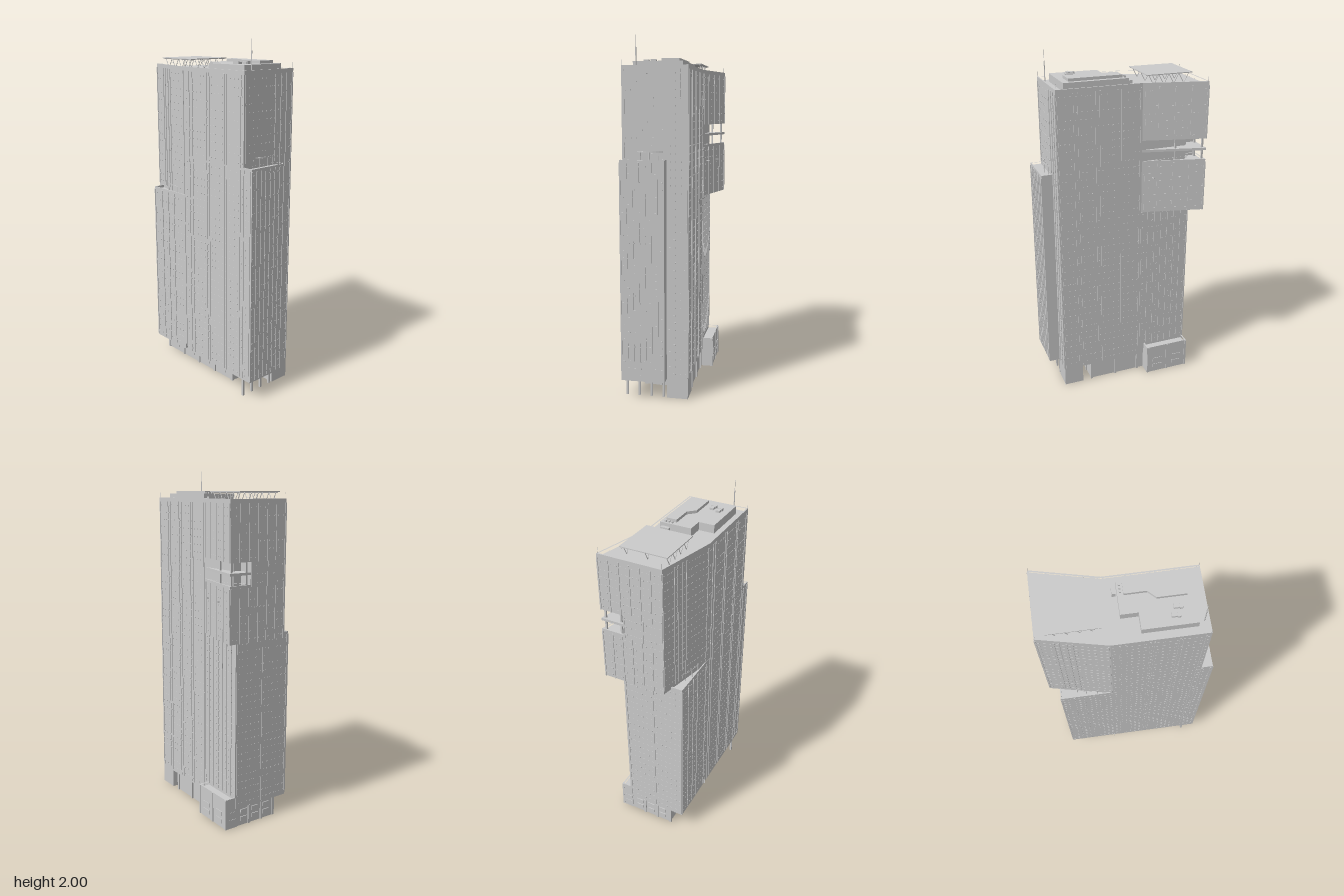
import * as THREE from 'three';
import { mergeGeometries } from 'three/addons/utils/BufferGeometryUtils.js';

const material = new THREE.MeshStandardMaterial({ color: 0xcccccc, flatShading: true });

// Vertical prism from a plan of [x, z] corners, with an optional hole.
function prism(plan, y0, y1, hole) {
  const toVec = ([x, z]) => new THREE.Vector2(x, -z);
  const shape = new THREE.Shape(plan.map(toVec));
  if (hole) shape.holes.push(new THREE.Path(hole.map(toVec)));
  return new THREE.ExtrudeGeometry(shape, { depth: y1 - y0, bevelEnabled: false })
    .rotateX(-Math.PI / 2).translate(0, y0, 0);
}

const rect = (x0, x1, z0, z1) => [[x0, z0], [x1, z0], [x1, z1], [x0, z1]];

function box(w, h, d, x, y, z, turn = 0) {
  return new THREE.BoxGeometry(w, h, d).rotateY(turn).translate(x, y, z);
}

// Thin round bar between two points.
function bar(a, b, r = 0.002) {
  const path = new THREE.LineCurve3(new THREE.Vector3(...a), new THREE.Vector3(...b));
  return new THREE.TubeGeometry(path, 1, r, 5);
}

// Fins at given fractions along a wall, and rows of small windows on each floor.
function facade(a, b, y0, y1, finAt) {
  const dx = b[0] - a[0], dz = b[1] - a[1];
  const length = Math.hypot(dx, dz), turn = Math.atan2(-dz, dx);
  const at = t => [a[0] + dx * t, a[1] + dz * t];
  const fins = finAt.map(t => {
    const [x, z] = at(t);
    return box(0.007, y1 - y0, 0.007, x, (y0 + y1) / 2, z, turn);
  });
  const windows = [];
  const columns = Math.max(2, Math.round(length / 0.03));
  const floors = Math.round((y1 - y0) / 0.042);
  for (let f = 0; f < floors; f++) for (let c = 0; c < columns; c++) {
    const [x, z] = at((c + 0.5) / columns);
    windows.push(box(0.013, 0.006, 0.003, x, y0 + (y1 - y0) * (f + 0.5) / floors, z, turn));
  }
  return { fins, windows };
}

const spread = n => Array.from({ length: n + 1 }, (_, i) => 0.01 + 0.98 * i / n);

export function createModel() {
  const model = new THREE.Group();
  const add = (name, ...geometries) => {
    const flat = geometries.map(g => (g.index ? g.toNonIndexed() : g));
    const mesh = new THREE.Mesh(mergeGeometries(flat), material);
    mesh.name = name;
    model.add(mesh);
  };

  // Tower masses
  const crown = [[-0.455, -0.235], [-0.1, -0.15], [0.39, -0.15], [0.39, 0.215], [-0.1, 0.215], [-0.455, 0.135]];
  const crownInner = [[-0.447, -0.225], [-0.101, -0.142], [0.382, -0.142], [0.382, 0.207], [-0.099, 0.207], [-0.447, 0.129]];
  const notched = [[-0.455, -0.1], [-0.37, -0.1], [-0.37, -0.15], [0.39, -0.15], [0.39, 0.215], [-0.1, 0.215], [-0.455, 0.135]];
  add('lowerTower', prism(rect(-0.4, 0.39, -0.15, 0.215), 0.11, 1.09));
  add('terraceParapet', prism([[-0.4, 0.215], [-0.1, 0.215], [-0.1, 0.209], [-0.394, 0.209], [-0.394, 0.15], [-0.4, 0.148]], 1.09, 1.105));
  add('upperTowerBase', prism(crown, 1.09, 1.385));
  add('skyGardenCore', prism(notched, 1.385, 1.52));
  add('upperTowerTop', prism(crown, 1.52, 1.82));
  add('roofParapet', prism(crown, 1.82, 1.842, crownInner));

  // Open sky garden at the back corner: floor plate, kerb and columns
  const corner = [[-0.455, -0.235], [-0.1, -0.15], [-0.37, -0.145], [-0.37, -0.1], [-0.455, -0.1]];
  add('skyGardenFloor', prism(corner, 1.452, 1.466));
  add('skyGardenKerb', prism(corner, 1.385, 1.4,
    [[-0.447, -0.225], [-0.15, -0.155], [-0.38, -0.15], [-0.38, -0.108], [-0.447, -0.108]]));
  add('skyGardenColumns', ...[[-0.44, -0.215], [-0.29, -0.18], [-0.44, -0.12]]
    .map(([x, z]) => box(0.01, 0.135, 0.01, x, 1.4525, z)));

  // Side bay with its terrace
  add('sideBay', prism(rect(0.38, 0.453, -0.03, 0.215), 0.11, 1.33));
  add('sideBayParapet', prism(rect(0.39, 0.453, -0.03, 0.215), 1.33, 1.343, rect(0.391, 0.447, -0.024, 0.209)));

  // Fins and windows on every wall
  const walls = [
    [[-0.4, 0.215], [-0.1, 0.215], 0.12, 1.09, [0.01, 0.25, 0.45, 0.63, 0.98]],
    [[-0.1, 0.215], [0.453, 0.215], 0.12, 1.33, [0.08, 0.13, 0.35, 0.39, 0.61, 0.65, 0.84, 0.89, 0.98]],
    [[-0.1, 0.215], [0.39, 0.215], 1.34, 1.82, [0.09, 0.147, 0.395, 0.44, 0.69, 0.73, 0.95]],
    [[-0.455, 0.135], [-0.1, 0.215], 1.11, 1.82, [0.01, 0.25, 0.32, 0.42, 0.5, 0.98]],
    [[0.39, -0.15], [0.39, -0.03], 0.12, 1.82, [0.05, 0.4, 0.75]],
    [[0.39, -0.03], [0.39, 0.215], 1.35, 1.82, [0.05, 0.95]],
    [[0.453, -0.03], [0.453, 0.215], 0.12, 1.33, spread(7)],
    [[-0.1, -0.15], [0.39, -0.15], 0.12, 1.82, [0.02, 0.25, 0.3, 0.5, 0.55, 0.75, 0.8, 0.98]],
    [[-0.4, -0.15], [-0.1, -0.15], 0.18, 1.09, spread(7)],
    [[-0.4, -0.15], [-0.4, 0.215], 0.12, 1.09, [0.02, 0.5, 0.98]],
    [[-0.455, -0.235], [-0.1, -0.15], 1.09, 1.385, [0.01, 0.25, 0.5, 0.75, 0.95]],
    [[-0.455, -0.235], [-0.1, -0.15], 1.52, 1.82, [0.01, 0.25, 0.5, 0.75, 0.95]],
    [[-0.455, -0.235], [-0.455, 0.135], 1.09, 1.385, spread(6)],
    [[-0.455, -0.235], [-0.455, 0.135], 1.52, 1.82, spread(6)],
    [[-0.455, -0.1], [-0.455, 0.135], 1.385, 1.52, [0.02, 0.5, 0.98]],
  ].map(w => facade(...w));
  add('facadeFins', ...walls.flatMap(w => w.fins));
  add('facadeWindows', ...walls.flatMap(w => w.windows));

  // Hollow podium, taller where it steps out at the back
  add('podiumWalls',
    prism(rect(-0.395, 0.22, -0.14, 0.13), 0, 0.112, rect(-0.385, 0.21, -0.13, 0.12)));
  add('podiumAnnex',
    prism(rect(-0.398, -0.13, -0.213, -0.14), 0, 0.182, rect(-0.39, -0.138, -0.205, -0.148)),
    prism(rect(-0.392, -0.135, -0.208, -0.145), 0.155, 0.165));
  const pillars = [];
  for (const x of [-0.392, -0.24, -0.09, 0.06, 0.217]) {
    pillars.push(box(0.014, 0.112, 0.014, x, 0.056, 0.13));
    if (x > -0.1) pillars.push(box(0.014, 0.112, 0.014, x, 0.056, -0.142));
  }
  for (const z of [-0.05, 0.04]) for (const x of [-0.395, 0.22])
    pillars.push(box(0.014, 0.112, 0.014, x, 0.056, z));
  for (const x of [-0.393, -0.265, -0.137]) pillars.push(box(0.012, 0.18, 0.012, x, 0.09, -0.211));
  add('podiumPillars', ...pillars);
  const panes = [];
  for (let i = 0; i < 4; i++) for (const y of [0.04, 0.085]) {
    panes.push(box(0.05, 0.025, 0.006, -0.315 + i * 0.15, y, 0.13));
    panes.push(box(0.006, 0.025, 0.045, -0.397, y, -0.17 + i * 0.082));
    if (i < 2) panes.push(box(0.06, 0.025, 0.006, -0.33 + i * 0.13, y, -0.213));
  }
  add('podiumWindows', ...panes);

  // Corner pier and slender posts that carry the overhang
  add('cornerPier', prism(rect(0.275, 0.39, -0.15, -0.03), 0, 0.12));
  add('overhangPosts', ...[0.2, 0.13, 0.06, -0.01].map(z => box(0.012, 0.112, 0.012, 0.383, 0.056, z)));

  // Curved screens on the terraces
  const screen = (points, y0, y1) => {
    const line = new THREE.QuadraticBezierCurve(...points.map(p => new THREE.Vector2(...p))).getPoints(8);
    const near = line.map(p => [p.x, p.y]);
    const far = line.map(p => [p.x - 0.003, p.y - 0.003]).reverse();
    return prism([...near, ...far], y0, y1);
  };
  add('terraceScreens',
    screen([[-0.32, 0.17], [-0.27, 0.205], [-0.18, 0.207]], 1.135, 1.14),
    screen([[0.393, 0.13], [0.437, 0.055], [0.393, -0.01]], 1.382, 1.388),
    ...[[-0.3, 0.184], [-0.25, 0.198], [-0.19, 0.205]].map(([x, z]) => bar([x, 1.09, z], [x, 1.137, z])),
    ...[[0.4, 0.11], [0.412, 0.06], [0.4, 0.01]].map(([x, z]) => bar([x, 1.33, z], [x, 1.385, z])));

  // Roof plant rooms
  add('plantRoom', prism([[-0.035, -0.11], [0.335, -0.11], [0.335, 0.165], [0.055, 0.165], [0.055, 0.075], [-0.035, 0.075]], 1.82, 1.866));
  add('upperPlantRoom', prism([[-0.005, -0.085], [0.3, -0.085], [0.3, 0.015], [0.15, 0.015], [0.11, -0.025], [-0.005, -0.025]], 1.866, 1.882));
  const units = [box(0.02, 0.03, 0.05, -0.05, 1.835, -0.07)];
  for (const [x, z] of [[0.247, 0.068], [0.23, 0.112]]) {
    units.push(box(0.048, 0.012, 0.022, x, 1.872, z), box(0.016, 0.014, 0.03, x + 0.012, 1.873, z));
  }
  for (const z of [-0.082, -0.063, -0.044]) units.push(box(0.01, 0.01, 0.01, -0.02, 1.87, z));
  add('roofUnits', ...units);

  // Roof canopy on zigzag braces
  add('canopyRoof', box(0.27, 0.005, 0.27, -0.265, 1.877, 0));
  const braces = [];
  for (const z of [-0.12, 0, 0.12]) {
    for (let i = 0; i < 4; i++) {
      const x = -0.385 + i * 0.06;
      braces.push(bar([x, 1.875, z], [x + 0.03, 1.82, z]), bar([x + 0.03, 1.82, z], [x + 0.06, 1.875, z]));
    }
    braces.push(bar([-0.4, 1.874, z], [-0.13, 1.874, z], 0.003));
  }
  add('canopyBraces', ...braces);

  // Mast, corner rods and wall brackets
  add('mast', bar([0.365, 1.82, 0.14], [0.365, 1.94, 0.14], 0.003), bar([0.365, 1.94, 0.14], [0.365, 2, 0.14], 0.0012));
  add('cornerRods', ...[[-0.45, -0.228], [-0.45, 0.131], [0.386, -0.146], [0.386, 0.211]]
    .map(([x, z]) => bar([x, 1.84, z], [x, 1.872, z], 0.001)));
  add('wallBrackets', box(0.004, 0.03, 0.014, -0.104, 0.14, 0.222),
    box(0.004, 0.006, 0.018, -0.312, 1.3, -0.208, 0.24), box(0.004, 0.006, 0.018, -0.163, 1.3, -0.172, 0.24));

  return model;
}
